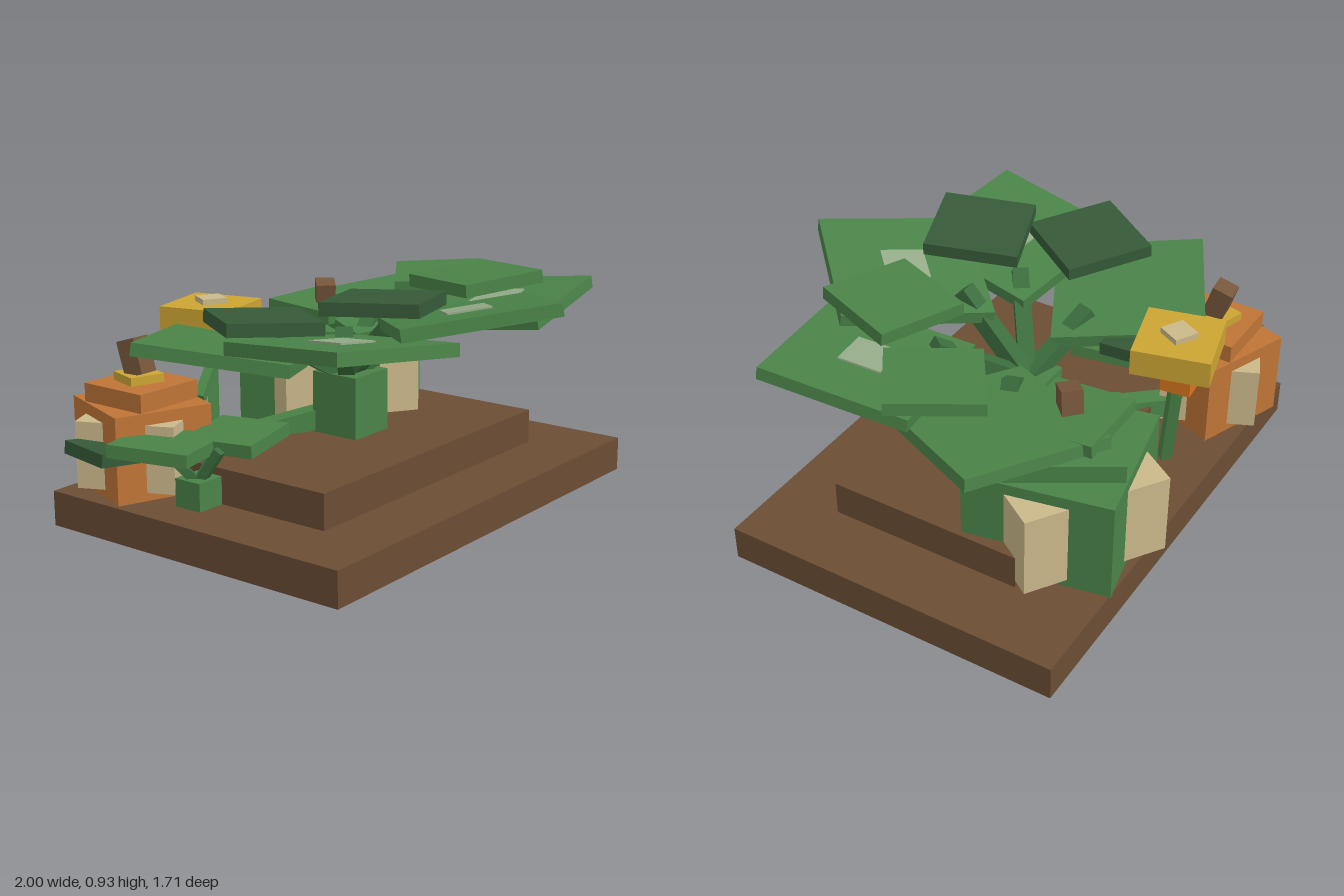
import * as THREE from 'three';

const mat = (name, color) => {
  const m = new THREE.MeshStandardMaterial({ color });
  m.name = name;
  return m;
};

export function createModel() {
  const soil = mat('soil brown', 0x6b4d34);
  const green = mat('leaf green', 0x4a8348);
  const dark = mat('dark leaf green', 0x365a38);
  const stemGreen = mat('stem green', 0x3c6e3e);
  const cream = mat('cream', 0xcbb88a);
  const orange = mat('pumpkin orange', 0xbf7436);
  const bright = mat('bright orange', 0xd8761e);
  const yellow = mat('yellow', 0xcca433);
  const wood = mat('stalk brown', 0x76553b);
  const pale = mat('pale leaf green', 0x94ab88);

  const model = new THREE.Group();
  model.name = 'vegetablePatch';

  const box = (name, m, size, pos, ry = 0, parent = model) => {
    const mesh = new THREE.Mesh(new THREE.BoxGeometry(...size), m);
    mesh.name = name;
    mesh.position.set(...pos);
    mesh.rotation.y = ry;
    parent.add(mesh);
    return mesh;
  };

  // Square bar between two points
  const beam = (name, a, b, w, m = stemGreen) => {
    const from = new THREE.Vector3(...a), to = new THREE.Vector3(...b);
    const mesh = box(name, m, [w, w, from.distanceTo(to)], [0, 0, 0]);
    mesh.position.copy(from).lerp(to, 0.5);
    mesh.lookAt(to);
    return mesh;
  };

  // Square leaf rising along its heading; spin turns the square on the slope
  const leaf = (name, m, side, pos, heading, tilt, spin, spot = 0) => {
    const g = new THREE.Group();
    g.name = name;
    g.position.set(...pos);
    g.rotation.order = 'YXZ';
    g.rotation.set(-tilt, heading, 0);
    box('blade', m, [side, 0.05, side], [0, 0, 0], spin, g);
    if (spot) box('paleSpot', pale, [spot, 0.008, spot], [0, 0.028, 0], spin, g);
    model.add(g);
  };

  // Soil bed
  box('soilBase', soil, [1.92, 0.138, 1.37], [0.04, 0.069, -0.11]);
  box('soilMound', soil, [1.37, 0.14, 0.785], [0.035, 0.207, -0.09]);

  // Main plant: hub, five stems and five large leaves
  const cx = 0.037, cz = -0.125;
  box('plantHub', green, [0.21, 0.25, 0.21], [cx, 0.4, -0.11]);
  const arms = [
    [90, 0.56, 0.81, 0.19, 0.29, 0.81],
    [36, 0.63, 0.755, 0.15, 0.38, 0.75],
    [144, 0.63, 0.755, 0.15, 0.38, 0.75],
    [-18, 0.53, 0.675, 0.14, 0.31, 0.68],
    [198, 0.53, 0.675, 0.14, 0.31, 0.68],
  ];
  for (const [deg, r, y, tilt, stemR, stemY] of arms) {
    const a = deg * Math.PI / 180, c = Math.cos(a), s = Math.sin(a);
    beam('leafStem', [cx, 0.5, cz], [cx + c * stemR, stemY, cz + s * stemR], 0.065);
    leaf('largeLeaf', green, 0.59, [cx + c * r, y, cz + s * r],
      Math.PI / 2 - a, tilt, Math.PI / 4, deg >= 0 && deg < 150 ? 0.17 : 0);
  }

  // Small leaves in mirrored pairs, dark on one side
  for (const s of [1, -1]) {
    const m = s > 0 ? green : dark;
    const pairs = [
      [0.30, 0.89, 0.275, 0.37, 0.64, -0.34],
      [0.56, 0.82, -0.075, 0.36, 1.48, 0.6],
      [0.32, s > 0 ? 0.68 : 0.64, -0.505, 0.32, Math.PI, 0],
    ];
    for (const [dx, y, z, side, heading, yaw] of pairs)
      leaf('smallLeaf', m, side, [cx + s * dx, y, z], s * heading, 0.07, s * (yaw - heading));
  }

  // Squared gourd: body, turned cap, four corner-on ribs
  const gourd = (name, m, x, z, side, y0, y1, yaw, rib, ribY, ribH) => {
    const g = new THREE.Group();
    g.name = name;
    g.position.set(x, 0, z);
    g.rotation.y = yaw;
    box('body', m, [side, y1 - y0, side], [0, (y0 + y1) / 2, 0], 0, g);
    box('cap', m, [side * 0.765, 0.08, side * 0.765], [0, y1 + 0.032, 0], 0.35, g);
    for (let i = 0; i < 4; i++) {
      const a = i * Math.PI / 2;
      box('rib', cream, [rib, ribH, rib],
        [Math.cos(a) * side / 2, ribY, Math.sin(a) * side / 2], Math.PI / 4, g);
    }
    model.add(g);
  };
  gourd('greenMelon', green, 0.365, -0.465, 0.568, 0.13, 0.545, 0.2, 0.17, 0.335, 0.33);
  const melonStalk = box('melonStalk', wood, [0.09, 0.19, 0.08], [0.35, 0.695, -0.485], 0.75);
  melonStalk.rotation.z = 0.2;

  gourd('orangePumpkin', orange, -0.65, -0.58, 0.39, 0.13, 0.475, -0.36, 0.11, 0.3, 0.26);
  box('pumpkinCollar', yellow, [0.14, 0.04, 0.14], [-0.65, 0.56, -0.59], -0.3);
  const pumpkinStalk = box('pumpkinStalk', wood, [0.085, 0.14, 0.085], [-0.65, 0.64, -0.6], 0.1);
  pumpkinStalk.rotation.x = -0.3;

  // Flower with bud beneath and its stalk
  box('flowerHead', yellow, [0.3, 0.105, 0.3], [-0.18, 0.712, -0.645], 0.25);
  box('flowerCentre', cream, [0.1, 0.03, 0.1], [-0.18, 0.772, -0.645], -0.5);
  box('flowerBud', bright, [0.12, 0.14, 0.12], [-0.2, 0.595, -0.655], 0.1);
  beam('flowerStalk', [-0.23, 0.13, -0.6], [-0.175, 0.54, -0.65], 0.045, green);
  beam('flowerSideStalk', [-0.31, 0.4, -0.6], [-0.175, 0.51, -0.65], 0.04, green);
  beam('vine', [-0.02, 0.33, -0.22], [-0.42, 0.24, -0.5], 0.08, green);

  // Seedling beside the pumpkin
  box('seedlingHub', green, [0.12, 0.12, 0.12], [-0.71, 0.187, -0.24]);
  for (const [x, y, z] of [[-0.8, 0.36, -0.32], [-0.6, 0.36, -0.22], [-0.69, 0.36, -0.15]])
    beam('seedlingStem', [-0.71, 0.22, -0.24], [x, y, z], 0.035);
  leaf('seedlingLeaf', green, 0.32, [-0.79, 0.37, -0.32], -1.8, 0.05, 2.1);
  leaf('seedlingLeaf', green, 0.29, [-0.54, 0.37, -0.2], 1.4, 0.05, -1.2);
  leaf('seedlingLeaf', dark, 0.24, [-0.86, 0.33, -0.54], -1.9, 0.1, 1.74);

  return model;
}
